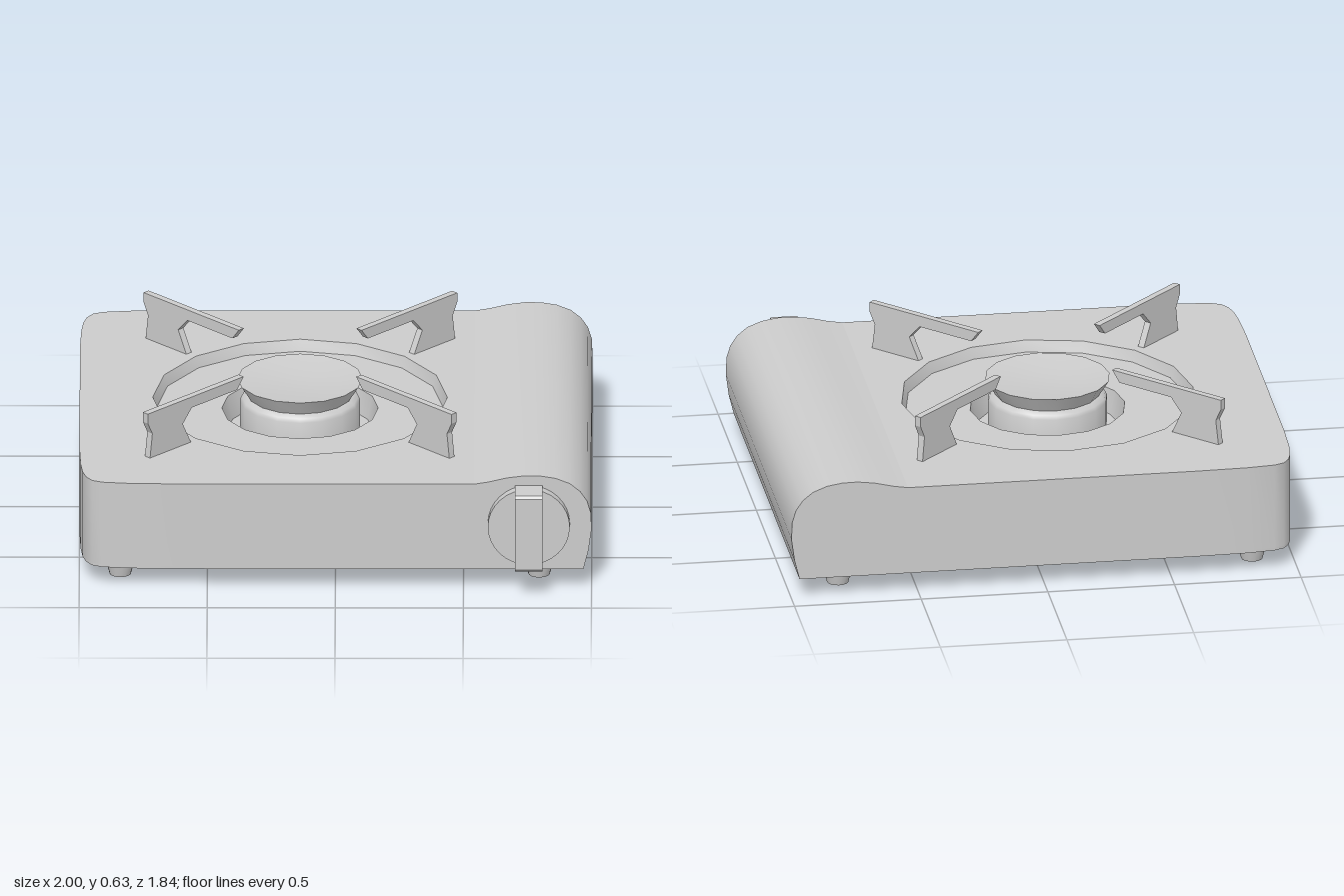
import * as THREE from 'three';
import { toCreasedNormals } from 'three/addons/utils/BufferGeometryUtils.js';

const CX = -0.14, CZ = -0.06; // burner axis
const BASE = 0.08, DECK = 0.44;

const v2 = (pts) => pts.map(([x, y]) => new THREE.Vector2(x, y));
const extrude = (shape, depth) =>
  new THREE.ExtrudeGeometry(shape, { depth, bevelEnabled: false });

export function createModel() {
  const group = new THREE.Group();
  const grey = new THREE.MeshStandardMaterial({ color: 0xcccccc });
  grey.name = 'grey metal';

  const add = (name, geometry, crease = 0.6, parent = group) => {
    const mesh = new THREE.Mesh(toCreasedNormals(geometry, crease), grey);
    mesh.name = name;
    parent.add(mesh);
    return mesh;
  };

  // Plan of the flat deck: straight on the right, softly rounded left corners
  const half = [[0.54, 0.86], [-0.6, 0.86], [-0.8, 0.855], [-0.91, 0.843], [-0.95, 0.825],
    [-0.973, 0.79], [-0.987, 0.74], [-0.995, 0.66], [-1, 0.5]];
  const plan = () => new THREE.Shape(v2([
    ...half.map(([x, z]) => [x, z - CZ]),
    ...half.slice().reverse().map(([x, z]) => [x, -z - CZ]),
  ]));

  // Deck block with a sixteen-sided opening for the drip pan
  const deckShape = plan();
  const hole = [];
  for (let i = 0; i < 16; i++) {
    const a = (i / 16) * Math.PI * 2;
    hole.push([CX + Math.cos(a) * 0.575, -CZ + Math.sin(a) * 0.575]);
  }
  deckShape.holes.push(new THREE.Path(v2(hole)));
  add('deck', extrude(deckShape, DECK - BASE - 0.01)
    .rotateX(-Math.PI / 2).translate(0, BASE + 0.01, 0));
  add('bottomPlate', extrude(plan(), 0.01).rotateX(-Math.PI / 2).translate(0, BASE, 0));

  // Raised gas compartment along the right side
  const hump = new THREE.Shape(v2([[0.54, BASE], [0.968, BASE], [0.988, 0.16], [1, 0.25],
    [0.997, 0.32], [0.982, 0.37], [0.955, 0.41], [0.915, 0.443], [0.86, 0.465], [0.8, 0.475],
    [0.74, 0.476], [0.67, 0.467], [0.6, 0.45], [0.54, DECK]]));
  add('gasCompartment', extrude(hump, 1.72).translate(0, 0, -0.92));

  // Drip pan stepping down into the burner well
  add('dripPan', new THREE.LatheGeometry(v2([[0.575, DECK], [0.56, 0.395], [0.305, 0.395],
    [0.285, 0.3], [0, 0.3]]), 16).translate(CX, 0, CZ));

  // Burner body and its dished cap
  add('burnerBody', new THREE.LatheGeometry(v2([[0.235, 0.3], [0.235, 0.43], [0.228, 0.445],
    [0.205, 0.457], [0, 0.457]]), 16).translate(CX, 0, CZ), 0.9);
  add('burnerCap', new THREE.LatheGeometry(v2([[0.205, 0.455], [0.245, 0.52], [0.16, 0.509],
    [0.08, 0.503], [0, 0.5]]), 16).translate(CX, 0, CZ));

  // Four pan supports on the diagonals
  const armShape = new THREE.Shape(v2([[0.615, DECK], [0.84, DECK], [0.827, 0.54], [0.852, 0.59],
    [0.852, 0.63], [0.325, 0.63], [0.36, 0.585], [0.61, 0.585], [0.66, 0.53]]));
  for (let i = 0; i < 4; i++) {
    const arm = add('panSupport', extrude(armShape, 0.028).translate(0, 0, -0.014), 0.2);
    arm.position.set(CX, 0, CZ);
    arm.rotation.y = Math.PI / 4 + (i * Math.PI) / 2;
  }

  // Control knob: disc and grip
  const knob = new THREE.Group();
  knob.name = 'controlKnob';
  knob.position.set(0.755, 0.275, 0.8);
  group.add(knob);
  add('knobDisc', new THREE.CylinderGeometry(0.16, 0.16, 0.04, 32)
    .rotateX(Math.PI / 2).translate(0, 0, 0.02), 0.6, knob);
  const grip = new THREE.Shape(v2([[0, -0.16], [0.105, -0.16], [0.115, -0.15],
    [0.115, 0.15], [0.105, 0.16], [0, 0.16]]));
  add('knobGrip', extrude(grip, 0.106).rotateY(-Math.PI / 2).translate(0.053, 0, 0), 0.6, knob);

  // Tapered feet
  for (const x of [-0.84, 0.795]) {
    for (const z of [0.655, -0.77]) {
      add('foot', new THREE.CylinderGeometry(0.063, 0.042, BASE, 16).translate(x, BASE / 2, z));
    }
  }
  return group;
}
